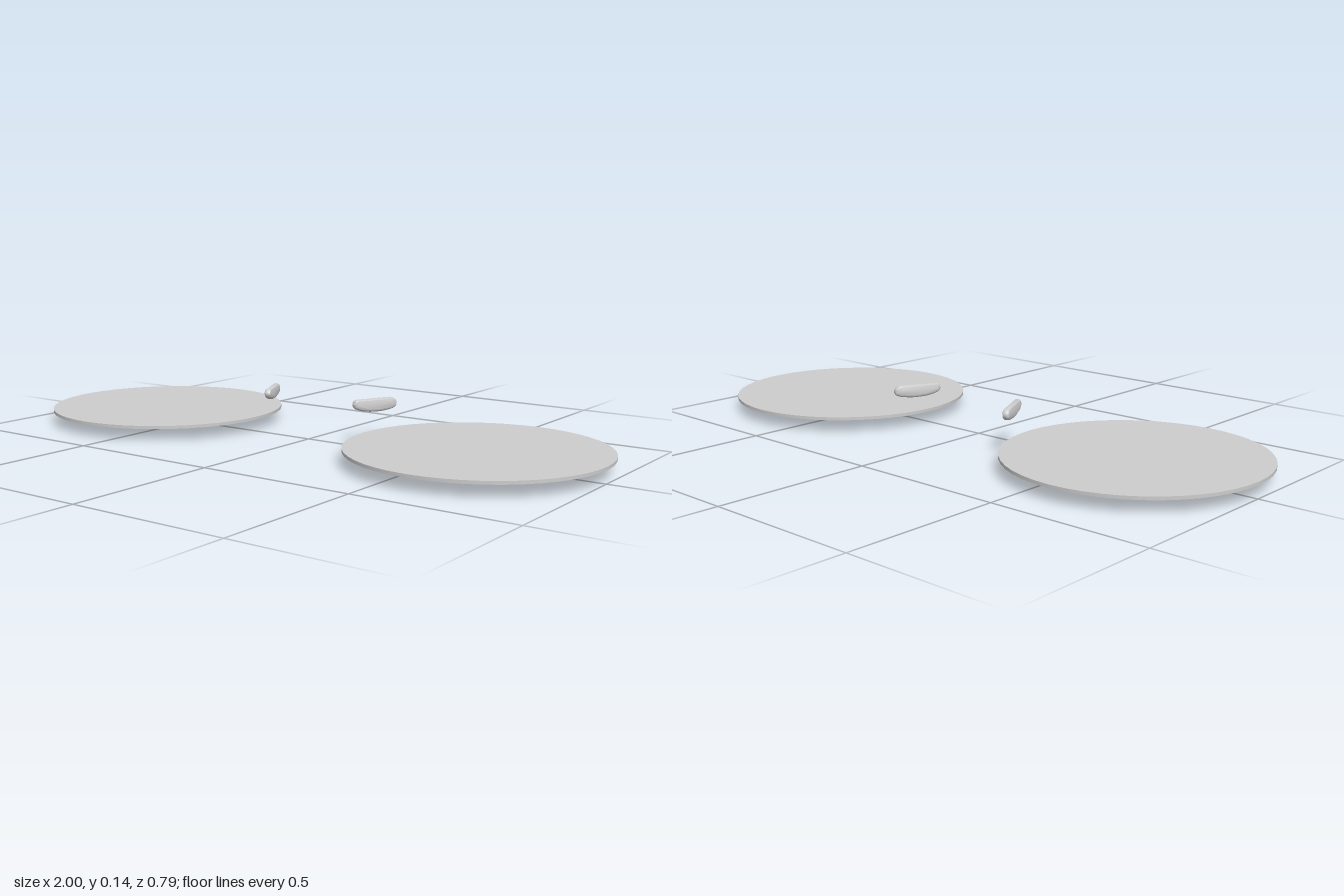
import * as THREE from 'three';
import { toCreasedNormals } from 'three/addons/utils/BufferGeometryUtils.js';

const glass = new THREE.MeshStandardMaterial({ color: 0xcccccc });
glass.name = 'paleGrey';

// Flat-topped lens with a shallow curved underside
function lensGeometry() {
  const radius = 0.393, steps = 8, profile = [];
  for (let i = 0; i <= steps; i++) {
    const t = i / steps;
    profile.push(new THREE.Vector2(radius * t, 0.002 + 0.038 * t * t));
  }
  profile.push(new THREE.Vector2(radius, 0.05), new THREE.Vector2(0, 0.05));
  return toCreasedNormals(new THREE.LatheGeometry(profile, 48), 0.4);
}

// Thin rounded pad: straight top edge, bulging lower edge, soft rim
function padGeometry() {
  const bevel = 0.01;
  const s = new THREE.Shape();
  s.moveTo(-0.062, 0.133);
  s.lineTo(0.052, 0.133);
  s.quadraticCurveTo(0.068, 0.132, 0.068, 0.122);
  s.quadraticCurveTo(0.066, 0.116, 0.04, 0.113);
  s.quadraticCurveTo(0.008, 0.108, -0.03, 0.113);
  s.quadraticCurveTo(-0.068, 0.119, -0.068, 0.127);
  s.quadraticCurveTo(-0.068, 0.133, -0.062, 0.133);
  const g = new THREE.ExtrudeGeometry(s, {
    depth: 0.004, bevelEnabled: true, bevelThickness: 0.009,
    bevelSize: bevel, bevelSegments: 4, curveSegments: 6,
  });
  g.translate(0, 0, -0.002);
  return toCreasedNormals(g, 0.8);
}

export function createModel() {
  const model = new THREE.Group();
  model.name = 'lensesAndNosePads';
  const lens = lensGeometry(), pad = padGeometry();
  const angle = 1.12;

  for (const [side, sign] of [['left', 1], ['right', -1]]) {
    const lensMesh = new THREE.Mesh(lens, glass);
    lensMesh.name = side + 'Lens';
    lensMesh.position.set(sign * 0.607, -0.002, 0);
    model.add(lensMesh);

    // Pads spread apart towards the back
    const padMesh = new THREE.Mesh(pad, glass);
    padMesh.name = side + 'NosePad';
    padMesh.position.set(sign * 0.203, 0, -0.073);
    padMesh.rotation.y = sign > 0 ? angle : Math.PI - angle;
    model.add(padMesh);
  }
  return model;
}
